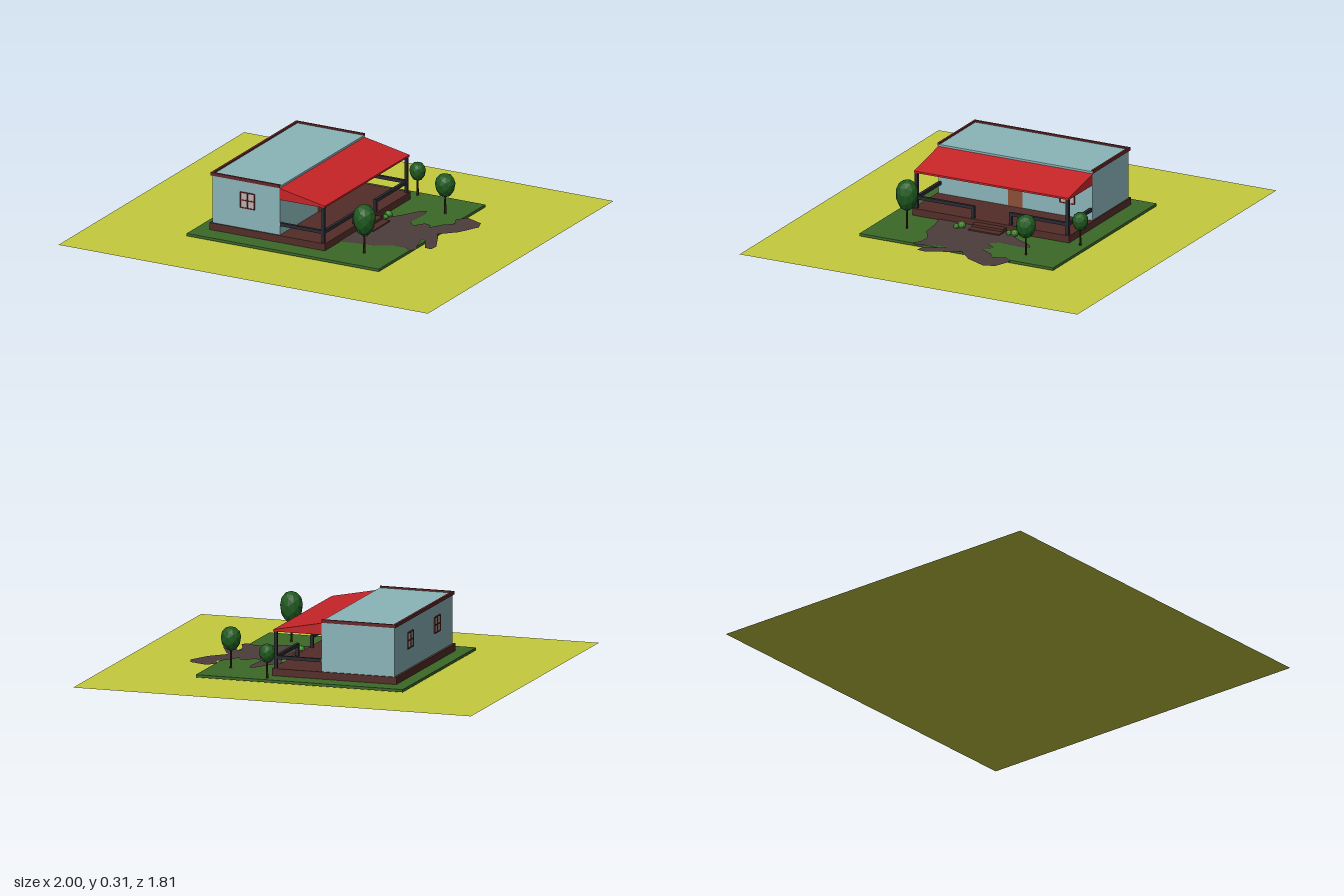
import * as THREE from 'three';

const mat = (color) => new THREE.MeshStandardMaterial({ color, flatShading: true, side: THREE.DoubleSide });
const M = {
  field: mat(0xc6ca3e), lawn: mat(0x3c6828), wall: mat(0x8ab4b8), red: mat(0xc62427),
  trim: mat(0x652628), base: mat(0x532d28), rail: mat(0x2a2a32), door: mat(0x8a5038),
  pane: mat(0xb8b0b0), path: mat(0x4d3d3d), leaf: mat(0x1f5a1f), trunk: mat(0x3a2218), shrub: mat(0x3f8a2a),
};

export function createModel() {
  const root = new THREE.Group();
  const add = (name, geo, material, parent = root) => {
    const mesh = new THREE.Mesh(geo, material);
    mesh.name = name;
    parent.add(mesh);
    return mesh;
  };
  // Box given by its minimum and maximum on each axis
  const box = (name, material, x0, x1, y0, y1, z0, z1, parent) => {
    const mesh = add(name, new THREE.BoxGeometry(x1 - x0, y1 - y0, z1 - z0), material, parent);
    mesh.position.set((x0 + x1) / 2, (y0 + y1) / 2, (z0 + z1) / 2);
    return mesh;
  };

  // Ground, lawn and house base
  add('field', new THREE.PlaneGeometry(2, 1.814).rotateX(-Math.PI / 2), M.field);
  box('lawn', M.lawn, -0.52, 0.52, 0.007, 0.02, -0.52, 0.52);
  box('foundation', M.base, -0.452, 0.172, 0.02, 0.055, -0.42, 0.42);

  // House body with a low parapet on three sides
  box('houseBody', M.wall, -0.44, -0.075, 0.055, 0.3, -0.413, 0.413);
  box('parapetBack', M.trim, -0.447, -0.435, 0.292, 0.308, -0.418, 0.418);
  for (const s of [-1, 1]) {
    const z = s * 0.413;
    box('parapetSide', M.trim, -0.447, -0.075, 0.292, 0.308, z - 0.005, z + 0.005);
  }

  // Wedge-shaped porch roof
  const wedge = new THREE.Shape([[-0.075, 0.233], [0.168, 0.233], [0.168, 0.242], [-0.075, 0.29]]
    .map(([x, y]) => new THREE.Vector2(x, y)));
  add('porchRoof', new THREE.ExtrudeGeometry(wedge, { depth: 0.83, bevelEnabled: false })
    .translate(0, 0, -0.415), M.red);

  // Porch posts and railings, mirrored front to back
  for (const s of [-1, 1]) {
    const span = (name, x0, x1, y0, y1, a, b) =>
      box(name, M.rail, x0, x1, y0, y1, Math.min(s * a, s * b), Math.max(s * a, s * b));
    span('porchPost', 0.15, 0.165, 0.055, 0.233, 0.398, 0.413);
    span('railEnd', 0.15, 0.165, 0.055, 0.1, 0.094, 0.108);
    span('railFront', 0.15, 0.165, 0.1, 0.116, 0.094, 0.398);
    span('railSide', -0.075, 0.15, 0.1, 0.116, 0.398, 0.413);
  }

  // Door and steps
  box('door', M.door, -0.08, -0.071, 0.055, 0.197, -0.039, 0.039);
  box('upperStep', M.base, 0.17, 0.207, 0.001, 0.042, -0.083, 0.083);
  box('lowerStep', M.base, 0.207, 0.247, 0.001, 0.03, -0.083, 0.083);

  // Four-pane windows, built facing +z and turned to their wall
  const addWindow = (x, y, z, turn) => {
    const g = new THREE.Group();
    g.name = 'window';
    box('panes', M.pane, -0.038, 0.038, -0.036, 0.036, -0.003, 0.002, g);
    for (const t of [-0.038, 0, 0.038]) {
      box('upright', M.trim, t - 0.0025, t + 0.0025, -0.0385, 0.0385, -0.003, 0.005, g);
      box('crossBar', M.trim, -0.0385, 0.0385, t - 0.0025, t + 0.0025, -0.003, 0.005, g);
    }
    g.position.set(x, y, z);
    g.rotation.y = turn;
    root.add(g);
  };
  addWindow(-0.25, 0.197, 0.413, 0);
  addWindow(-0.44, 0.193, 0.19, -Math.PI / 2);
  addWindow(-0.44, 0.193, -0.19, -Math.PI / 2);
  addWindow(-0.075, 0.158, -0.278, Math.PI / 2);

  // Irregular flat earth patch in front of the porch (x, z outline)
  const outline = [
    [0.17, -0.13], [0.22, -0.15], [0.25, -0.19], [0.3, -0.28], [0.33, -0.295], [0.34, -0.25],
    [0.33, -0.13], [0.37, -0.09], [0.405, -0.14], [0.44, -0.13], [0.45, -0.1], [0.49, -0.17],
    [0.53, -0.2], [0.505, -0.26], [0.545, -0.305], [0.635, -0.27], [0.655, -0.215], [0.605, -0.11],
    [0.53, -0.035], [0.555, 0.005], [0.61, 0.12], [0.605, 0.165], [0.57, 0.16], [0.525, 0.075],
    [0.5, 0.06], [0.52, 0.14], [0.545, 0.2], [0.53, 0.23], [0.485, 0.205], [0.43, 0.205],
    [0.35, 0.25], [0.25, 0.26], [0.17, 0.28],
  ];
  const patch = new THREE.Shape(outline.map(([x, z]) => new THREE.Vector2(x, -z)));
  add('earthPatch', new THREE.ShapeGeometry(patch).rotateX(-Math.PI / 2), M.path).position.y = 0.024;

  // Trees: faceted crowns, rounder on top and tapering below
  const trees = [
    [0.175, -0.482, 0.039, 0.092, 0.187],
    [0.415, -0.318, 0.049, 0.102, 0.222],
    [0.35, 0.355, 0.055, 0.107, 0.266],
  ];
  for (const [x, z, r, bottom, top] of trees) {
    const tree = new THREE.Group();
    tree.name = 'tree';
    const widest = bottom + (top - bottom) * 0.58;
    const crown = new THREE.IcosahedronGeometry(1, 1);
    const p = crown.attributes.position;
    for (let i = 0; i < p.count; i++) {
      const y = p.getY(i);
      p.setXYZ(i, p.getX(i) * r, y * (y > 0 ? top - widest : widest - bottom), p.getZ(i) * r);
    }
    crown.computeVertexNormals();
    add('crown', crown, M.leaf, tree).position.y = widest;
    const h = bottom + 0.01 - 0.02;
    add('trunk', new THREE.CylinderGeometry(0.004, 0.006, h, 6), M.trunk, tree).position.y = 0.02 + h / 2;
    tree.position.set(x, 0, z);
    root.add(tree);
  }

  // Small shrubs beside the steps
  const shrubs = [
    [0.205, -0.145, 0.019], [0.205, -0.115, 0.014],
    [0.222, 0.13, 0.02], [0.24, 0.15, 0.014],
  ];
  for (const [x, z, r] of shrubs)
    add('shrub', new THREE.IcosahedronGeometry(r, 1), M.shrub).position.set(x, 0.02 + r * 0.75, z);

  return root;
}
